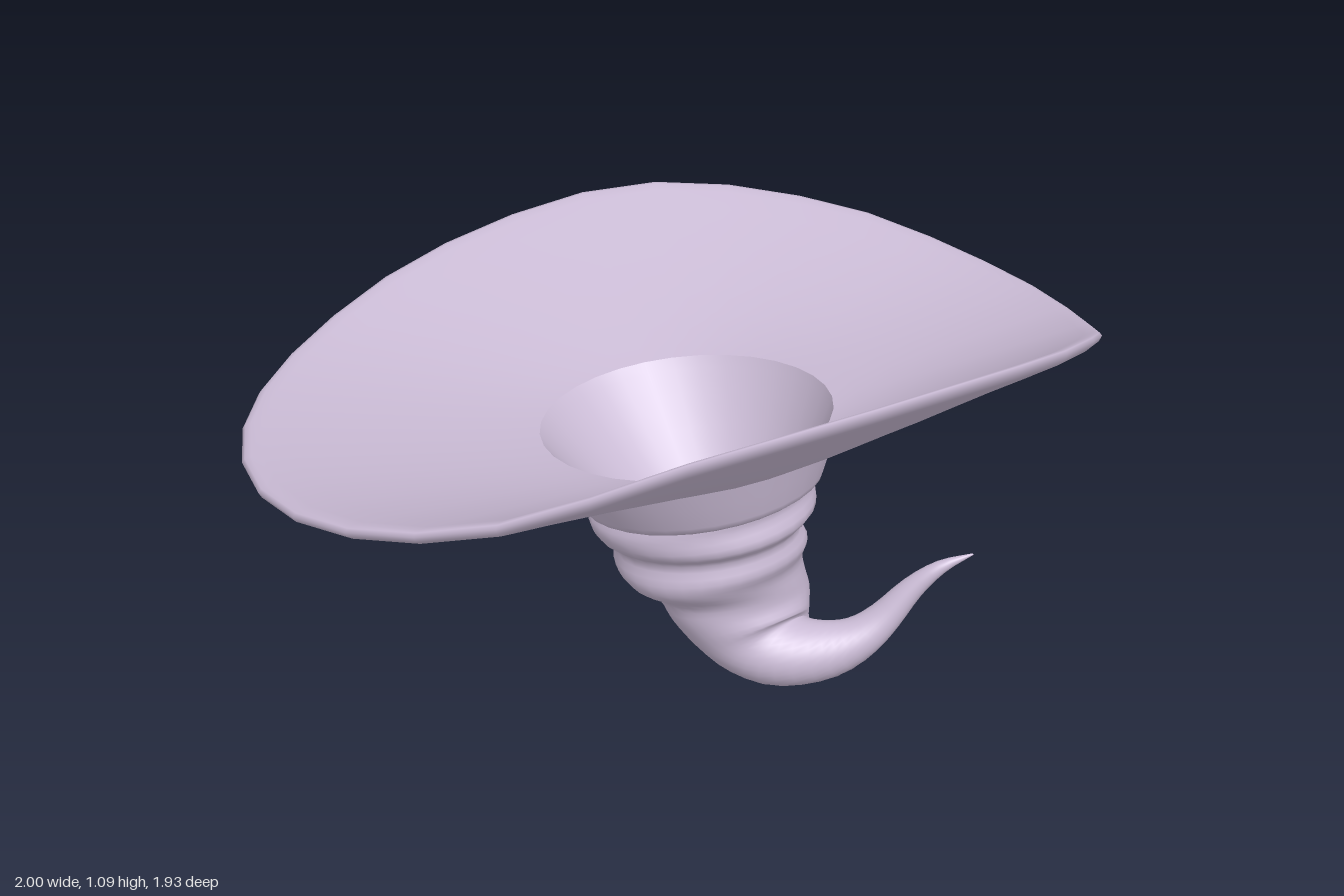
import * as THREE from 'three';

const V = (x, y, z) => new THREE.Vector3(x, y, z);
const SIDES = 32;
const material = new THREE.MeshStandardMaterial({ color: 0xcbbcd6, side: THREE.DoubleSide });

// Point on an elliptical ring around c, whose axis is d
function ringPoint(c, d, ru, rv, angle) {
  const axis = d.clone().normalize();
  const u = V(1, 0, 0).addScaledVector(axis, -axis.x).normalize();
  const v = axis.clone().cross(u);
  return c.clone().addScaledVector(u, ru * Math.cos(angle)).addScaledVector(v, rv * Math.sin(angle));
}

function ring(c, d, ru, rv) {
  return Array.from({ length: SIDES }, (_, j) => ringPoint(c, d, ru, rv, (j / SIDES) * Math.PI * 2));
}

// Smooth skin over a list of closed rings
function loft(name, rings) {
  const index = [];
  for (let i = 0; i < rings.length - 1; i++) {
    for (let j = 0; j < SIDES; j++) {
      const k = (j + 1) % SIDES;
      const a = i * SIDES + j, b = i * SIDES + k;
      index.push(a, b, a + SIDES, b, b + SIDES, a + SIDES);
    }
  }
  const geometry = new THREE.BufferGeometry().setFromPoints(rings.flat());
  geometry.setIndex(index);
  geometry.computeVertexNormals();
  const mesh = new THREE.Mesh(geometry, material);
  mesh.name = name;
  return mesh;
}

// Tilted plane of the opening, shared by brim, band and lining
const openingAxis = V(0.06, -1, 0.15);
const openingCentre = V(0, 0.608, 0.065);

// Wavy brim: rim heights every 30 degrees, from +x towards +z
function makeBrim() {
  const heights = [0.7, 0.77, 0.975, 1.085, 1.035, 0.825, 0.68, 0.605, 0.592, 0.67, 0.75, 0.73];
  const rim = new THREE.CatmullRomCurve3(heights.map((h) => V(0, h, 0)), true, 'catmullrom', 0.5);
  const inner = ring(openingCentre, openingAxis, 0.332, 0.363);
  const row = (t, offset) => inner.map((p, j) => {
    const a = (j / SIDES) * Math.PI * 2;
    return V(
      THREE.MathUtils.lerp(p.x, Math.cos(a), t),
      THREE.MathUtils.lerp(p.y, rim.getPoint(j / SIDES).y, Math.pow(t, 1.12)) + offset,
      THREE.MathUtils.lerp(p.z, 0.965 * Math.sin(a), t),
    );
  });
  const steps = [0, 0.1, 0.25, 0.4, 0.55, 0.7, 0.83, 0.93];
  return loft('brim', [
    ...steps.map((t) => row(t, 0.018)),
    row(0.97, 0.016), row(0.99, 0.01), row(1, 0), row(0.99, -0.012), row(0.97, -0.018),
    ...steps.slice().reverse().map((t) => row(t, -0.018)),
  ]);
}

// Crumpled crown and curling tip: centre, two radii, axis
function makeCrown() {
  const folds = [
    [0.01, 0.46, 0.115, 0.25, 0.28, 0.07, -1, 0.25],
    [0.01, 0.425, 0.11, 0.262, 0.28, 0.07, -1, 0.25],
    [0.015, 0.385, 0.125, 0.25, 0.28, 0.07, -1, 0.23],
    [0.015, 0.34, 0.12, 0.207, 0.255, 0.05, -1, 0.25],
    [0.02, 0.295, 0.14, 0.222, 0.245, 0.05, -1, 0.25],
    [0.02, 0.255, 0.165, 0.205, 0.2, 0.03, -1, 0.27],
    [0.05, 0.21, 0.18, 0.178, 0.18, 0, -1, 0.3],
    [0.06, 0.165, 0.205, 0.172, 0.16, 0, -1, 0.4],
    [0.06, 0.12, 0.252, 0.145, 0.138, 0, -1, 0.66],
  ];
  const tail = [
    [0.07, 0.092, 0.305, 0.12, 0.1, 0.1, -0.6, 1],
    [0.1, 0.087, 0.36, 0.095, 0.082, 0.4, 0, 1],
    [0.165, 0.1, 0.415, 0.07, 0.068, 0.7, 0.4, 0.7],
    [0.225, 0.135, 0.455, 0.05, 0.052, 0.6, 0.8, 0.4],
    [0.275, 0.185, 0.482, 0.037, 0.04, 0.5, 1, 0.3],
    [0.325, 0.26, 0.515, 0.026, 0.028, 0.5, 1, 0.4],
    [0.375, 0.318, 0.555, 0.016, 0.016, 0.8, 0.7, 0.5],
    [0.44, 0.345, 0.59, 0.002, 0.002, 1, 0.3, 0.4],
  ];
  const rows = [...folds, ...tail];
  const curve = (f) => new THREE.CatmullRomCurve3(rows.map(f), false, 'catmullrom', 0.5);
  const centre = curve((r) => V(r[0], r[1], r[2]));
  const radii = curve((r) => V(r[3], r[4], 0));
  const axis = curve((r) => V(r[5], r[6], r[7]));
  const n = (rows.length - 1) * 3;
  return loft('crown', Array.from({ length: n + 1 }, (_, i) => {
    const size = radii.getPoint(i / n);
    return ring(centre.getPoint(i / n), axis.getPoint(i / n), size.x, size.y);
  }));
}

// Hat band, with a lip turned in at its narrow edge
const bandTop = [V(0, 0.61, 0.073), openingAxis, 0.344, 0.378];
const bandEnd = [V(0.012, 0.46, 0.115), V(0.07, -1, 0.25), 0.272, 0.305];

function makeBand() {
  const [c, d, ru, rv] = bandEnd;
  return loft('band', [
    ring(...bandTop),
    ring(V(0.005, 0.537, 0.093), V(0.065, -1, 0.2), 0.311, 0.345),
    ring(V(0.01, 0.475, 0.112), V(0.07, -1, 0.24), 0.28, 0.313),
    ring(...bandEnd),
    ring(c.clone().add(V(0, -0.008, 0)), d, ru - 0.012, rv - 0.012),
    ring(c, d, ru - 0.022, rv - 0.025),
  ]);
}

// Smooth bowl inside the opening, starting at the brim's upper surface
function makeLining() {
  const top = openingCentre.clone().add(V(0, 0.018, 0));
  const steps = [1, 0.98, 0.93, 0.85, 0.75, 0.6, 0.45, 0.3, 0.15, 0.05, 0];
  return loft('lining', steps.map((t) => {
    const r = Math.pow(1 - t, 0.8);
    const c = top.clone().lerp(V(0.04, 0.2, 0.2), t);
    const axis = openingAxis.clone().lerp(V(0.06, -1, 0.28), t);
    return ring(c, axis, 0.332 * r, 0.363 * r);
  }));
}

// Thin rectangular buckle lying on the back of the band
function makeBuckle() {
  const rectangle = (shape, w, h) => shape
    .moveTo(-w, -h).lineTo(w, -h).lineTo(w, h).lineTo(-w, h).closePath();
  const shape = rectangle(new THREE.Shape(), 0.077, 0.1);
  shape.holes.push(rectangle(new THREE.Path(), 0.06, 0.083));
  const geometry = new THREE.ExtrudeGeometry(shape, {
    depth: 0.014, bevelEnabled: true, bevelThickness: 0.004, bevelSize: 0.004, bevelSegments: 1,
  });
  const angle = THREE.MathUtils.degToRad(-62);
  const top = ringPoint(...bandTop, angle);
  const end = ringPoint(...bandEnd, angle);
  const up = top.clone().sub(end).normalize();
  const out = V(Math.cos(angle), 0, Math.sin(angle));
  out.addScaledVector(up, -out.dot(up)).normalize();
  const across = up.clone().cross(out);
  const buckle = new THREE.Mesh(geometry, material);
  buckle.name = 'buckle';
  buckle.quaternion.setFromRotationMatrix(new THREE.Matrix4().makeBasis(across, up, out));
  buckle.position.copy(top).lerp(end, 0.54);
  return buckle;
}

export function createModel() {
  const hat = new THREE.Group();
  hat.name = 'pointedHat';
  hat.add(makeBrim(), makeBand(), makeCrown(), makeLining(), makeBuckle());
  return hat;
}
